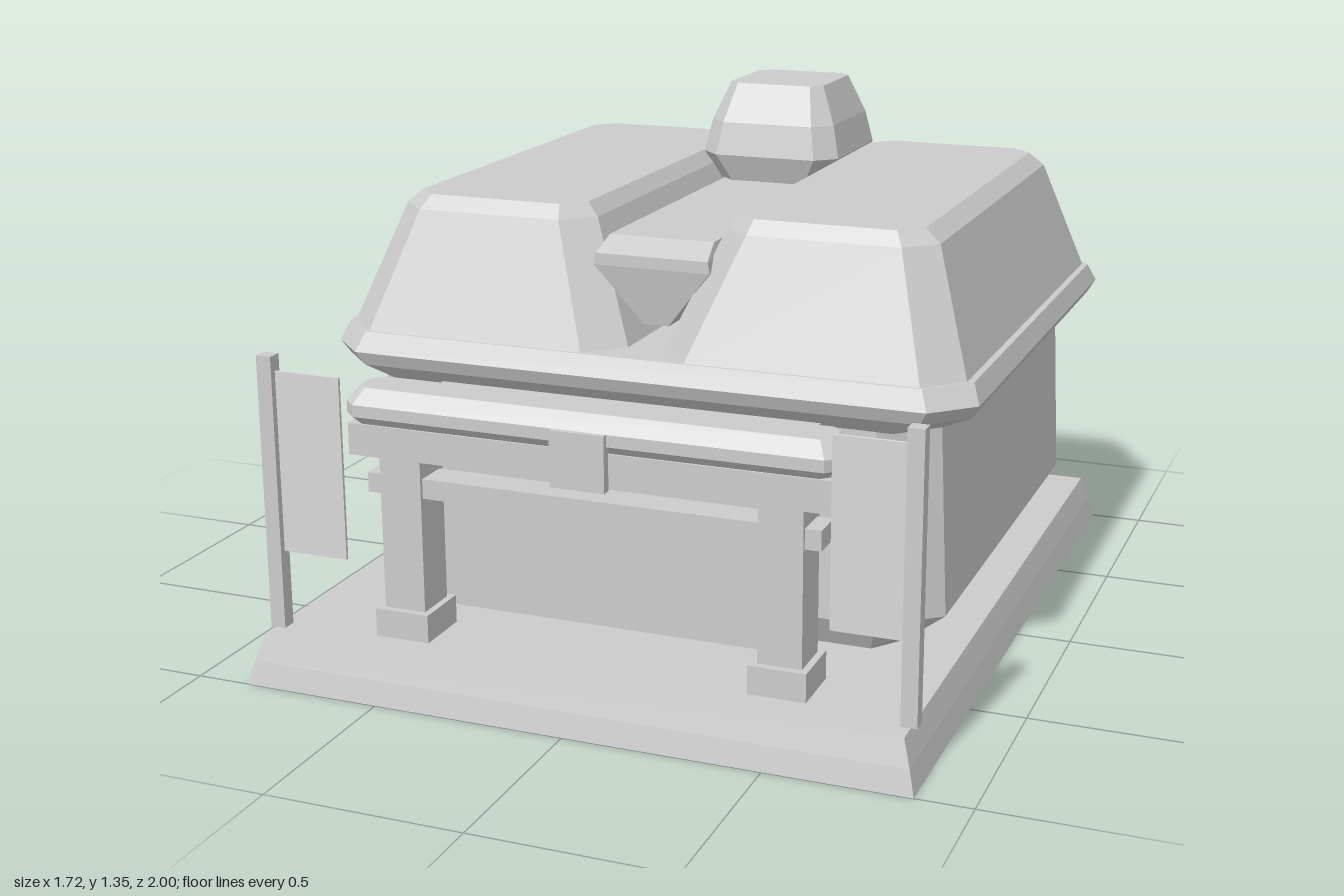
import * as THREE from 'three';

const stone = new THREE.MeshStandardMaterial({ color: 0xcccccc });
stone.name = 'light grey';
const cloth = new THREE.MeshStandardMaterial({ color: 0xd8d8d8 });
cloth.name = 'pale grey';

// Stacks chamfered rectangles, bottom to top: [y, x0, x1, z0, z1, chamferX, chamferZ]
function loft(name, rings) {
  const loops = rings.map(([y, x0, x1, z0, z1, c = 0.001, d = c]) => [
    [x0 + c, y, z1], [x1 - c, y, z1], [x1, y, z1 - d], [x1, y, z0 + d],
    [x1 - c, y, z0], [x0 + c, y, z0], [x0, y, z0 + d], [x0, y, z1 - d],
  ]);
  const pos = [];
  const tri = (a, b, c) => pos.push(...a, ...b, ...c);
  for (let r = 0; r < loops.length - 1; r++) {
    const lo = loops[r], hi = loops[r + 1];
    for (let i = 0; i < 8; i++) {
      const j = (i + 1) % 8;
      tri(lo[i], lo[j], hi[j]);
      tri(lo[i], hi[j], hi[i]);
    }
  }
  const bottom = loops[0], top = loops[loops.length - 1];
  for (let i = 1; i < 7; i++) {
    tri(top[0], top[i], top[i + 1]);
    tri(bottom[0], bottom[i + 1], bottom[i]);
  }
  const g = new THREE.BufferGeometry();
  g.setAttribute('position', new THREE.Float32BufferAttribute(pos, 3));
  g.computeVertexNormals();
  const mesh = new THREE.Mesh(g, stone);
  mesh.name = name;
  return mesh;
}

// Box given by its limits on each axis
function box(name, x0, x1, y0, y1, z0, z1, material = stone) {
  const mesh = new THREE.Mesh(new THREE.BoxGeometry(x1 - x0, y1 - y0, z1 - z0), material);
  mesh.position.set((x0 + x1) / 2, (y0 + y1) / 2, (z0 + z1) / 2);
  mesh.name = name;
  return mesh;
}

export function createModel() {
  const model = new THREE.Group();
  model.name = 'building';

  // Ground slab with sloping edges
  model.add(loft('base', [
    [0, -0.86, 0.86, -1, 1],
    [0.06, -0.845, 0.845, -0.985, 0.985],
    [0.125, -0.825, 0.825, -0.965, 0.965],
  ]));

  // Walls, undercut at the foot
  model.add(loft('walls', [
    [0.125, -0.67, 0.67, -0.935, 0.51, 0.06, 0.08],
    [0.205, -0.775, 0.775, -0.95, 0.555, 0.145, 0.12],
    [0.72, -0.75, 0.75, -0.935, 0.54, 0.13, 0.11],
  ]));
  model.add(box('frontPanel', -0.5, 0.5, 0.125, 0.715, 0.595, 0.615));

  // Flared rim below the roof
  model.add(loft('eaves', [
    [0.69, -0.76, 0.76, -0.94, 0.54, 0.1],
    [0.73, -0.835, 0.835, -0.97, 0.575, 0.1],
    [0.765, -0.855, 0.855, -0.985, 0.59, 0.1],
    [0.815, -0.835, 0.835, -0.955, 0.565, 0.1],
  ]));

  // Two roof halves with a valley between them
  for (const side of [1, -1]) {
    const ring = (y, inner, outer, z0, z1, c) =>
      side > 0 ? [y, inner, outer, z0, z1, c] : [y, -outer, -inner, z0, z1, c];
    model.add(loft(side > 0 ? 'leftRoof' : 'rightRoof', [
      ring(0.81, 0.045, 0.82, -0.95, 0.56, 0.09),
      ring(1.115, 0.175, 0.715, -0.835, 0.43, 0.075),
      ring(1.15, 0.205, 0.675, -0.8, 0.4, 0.055),
    ]));
  }

  // Ridge beam lying in the valley, with a wider hood at the rear
  model.add(loft('ridgeBeam', [
    [0.86, -0.035, 0.035, -0.82, 0.4],
    [1.01, -0.155, 0.155, -0.84, 0.43],
    [1.04, -0.15, 0.15, -0.84, 0.43],
    [1.075, -0.14, 0.14, -0.83, 0.36],
  ]));
  model.add(loft('rearHood', [
    [0.83, -0.045, 0.045, -0.89, -0.6],
    [0.98, -0.19, 0.19, -0.895, -0.6],
    [1.03, -0.2, 0.2, -0.895, -0.6],
    [1.09, -0.165, 0.165, -0.84, -0.6],
  ]));

  // Raised cap above the rear of the ridge
  model.add(loft('roofCap', [
    [1.07, -0.155, 0.155, -0.82, -0.43, 0.05],
    [1.15, -0.2, 0.2, -0.84, -0.4, 0.055],
    [1.24, -0.18, 0.18, -0.82, -0.42, 0.05],
    [1.345, -0.137, 0.137, -0.765, -0.475, 0.03],
  ]));

  // Gate in front of the building
  const gate = new THREE.Group();
  gate.name = 'gate';
  gate.add(loft('gateTop', [
    [0.665, -0.6, 0.6, 0.73, 0.855, 0.02],
    [0.69, -0.635, 0.635, 0.71, 0.875, 0.035],
    [0.72, -0.635, 0.635, 0.71, 0.875, 0.035],
    [0.758, -0.605, 0.605, 0.74, 0.845, 0.025],
  ]));
  gate.add(box('gateLintel', -0.62, 0.62, 0.59, 0.67, 0.72, 0.865));
  gate.add(box('gateTieBeam', -0.585, 0.585, 0.49, 0.54, 0.75, 0.84));
  gate.add(box('gatePlaque', -0.07, 0.07, 0.58, 0.72, 0.865, 0.89));
  for (const side of [1, -1]) {
    const x = side * 0.49;
    gate.add(box('gatePost', x - 0.055, x + 0.055, 0.125, 0.59, 0.735, 0.85));
    gate.add(box('gateFoot', x - 0.072, x + 0.072, 0.125, 0.197, 0.72, 0.87));
  }
  model.add(gate);

  // Banners on poles at the front corners
  for (const side of [1, -1]) {
    const banner = new THREE.Group();
    banner.name = side > 0 ? 'leftBanner' : 'rightBanner';
    const x = side * 0.82, c = side * 0.712;
    banner.add(box('bannerPole', x - 0.02, x + 0.02, 0.125, 0.83, 0.873, 0.911));
    banner.add(box('bannerCloth', c - 0.088, c + 0.088, 0.325, 0.79, 0.886, 0.894, cloth));
    model.add(banner);
  }
  return model;
}
